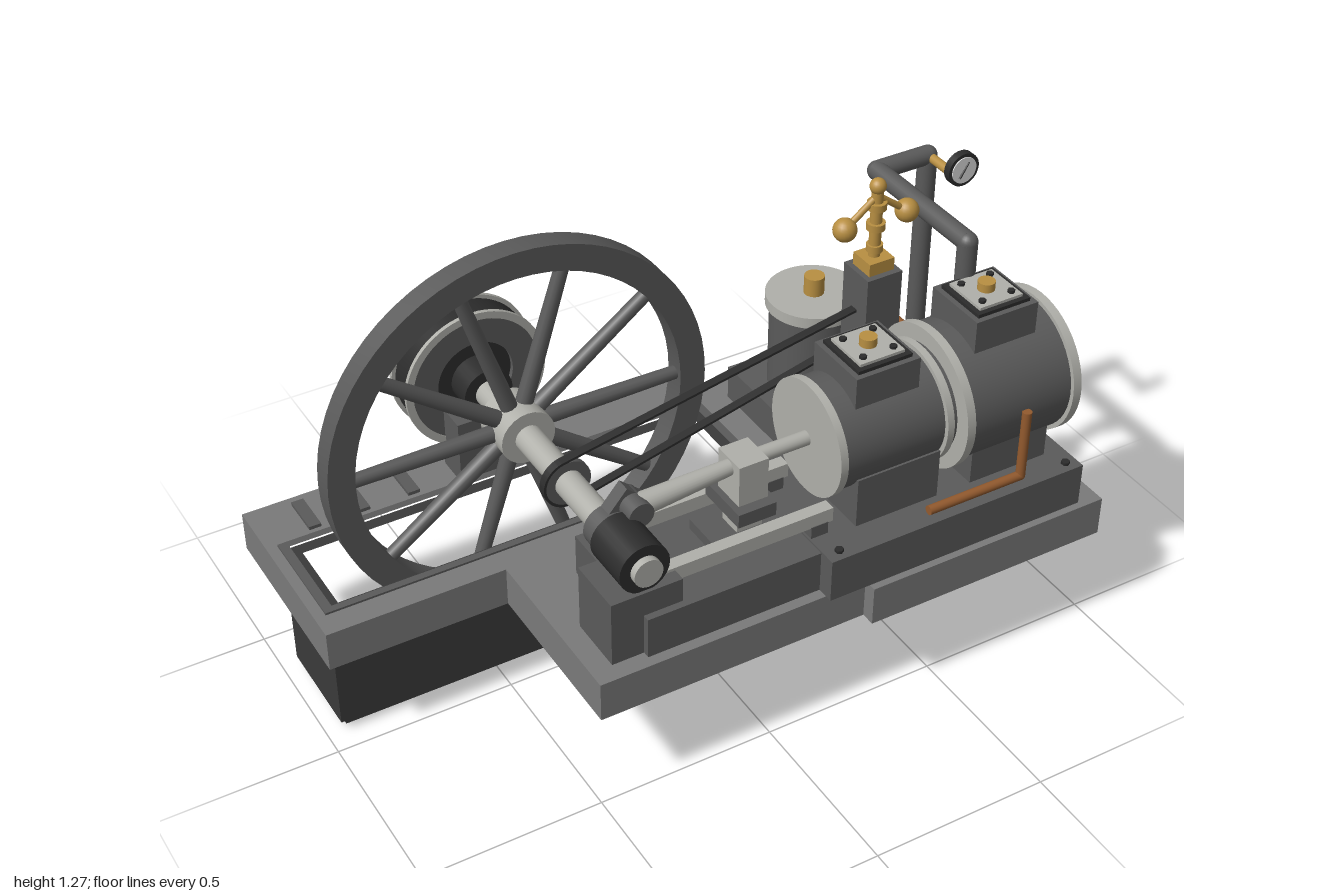
import * as THREE from 'three';
import { toCreasedNormals } from 'three/addons/utils/BufferGeometryUtils.js';

const mat = (name, color) => {
  const m = new THREE.MeshStandardMaterial({ color });
  m.name = name;
  return m;
};
const M = {
  slab: mat('stone grey', 0x7a7a7a),
  iron: mat('iron grey', 0x5a5a5a),
  pit: mat('pit grey', 0x3a3a3a),
  black: mat('black', 0x2c2c2c),
  steel: mat('bright steel', 0xb0b0aa),
  brass: mat('brass', 0xb88f42),
  copper: mat('copper', 0x935a2e),
  white: mat('dial white', 0xdcdcdc),
};

export function createModel() {
  const root = new THREE.Group();
  root.name = 'steamEngine';
  const V = (x, y, z) => new THREE.Vector3(x, y, z);

  const add = (name, geo, m, parent = root) => {
    const mesh = new THREE.Mesh(geo, m);
    mesh.name = name;
    parent.add(mesh);
    return mesh;
  };
  // Box given by its limits on each axis
  const box = (name, m, x0, x1, y0, y1, z0, z1) => {
    const b = add(name, new THREE.BoxGeometry(x1 - x0, y1 - y0, z1 - z0), m);
    b.position.set((x0 + x1) / 2, (y0 + y1) / 2, (z0 + z1) / 2);
    return b;
  };
  // Round bar from a to b
  const rod = (name, m, a, b, r0, r1 = r0, seg = 24) => {
    const d = b.clone().sub(a);
    const c = add(name, new THREE.CylinderGeometry(r1, r0, d.length(), seg), m);
    c.position.copy(a).add(b).multiplyScalar(0.5);
    c.quaternion.setFromUnitVectors(V(0, 1, 0), d.normalize());
    return c;
  };
  const ball = (name, m, p, r) => {
    const s = add(name, new THREE.SphereGeometry(r, 20, 14), m);
    s.position.copy(p);
    return s;
  };
  // Pipe with round elbows
  const pipe = (name, m, r, pts) => {
    for (let i = 1; i < pts.length; i++) {
      rod(name, m, pts[i - 1], pts[i], r);
      if (i < pts.length - 1) ball(name + 'Elbow', m, pts[i], r);
    }
  };
  const extrude = (name, shape, depth, m, seg = 32) => {
    const g = new THREE.ExtrudeGeometry(shape, { depth, bevelEnabled: false, curveSegments: seg });
    return add(name, toCreasedNormals(g, 0.6), m);
  };
  // Ring about the z axis
  const ring = (name, m, rOut, rIn, x, y, z0, z1) => {
    const s = new THREE.Shape().absarc(0, 0, rOut, 0, Math.PI * 2, false);
    s.holes.push(new THREE.Path().absarc(0, 0, rIn, 0, Math.PI * 2, true));
    extrude(name, s, z1 - z0, m).position.set(x, y, z0);
  };
  const rect = (P, x0, x1, z0, z1) => new P([[x0, z0], [x1, z0], [x1, z1], [x0, z1]]
    .map(([x, z]) => new THREE.Vector2(x, -z)));
  // Flat slab lying on y0
  const plate = (name, m, shape, y0, y1) => {
    const p = extrude(name, shape, y1 - y0, m);
    p.rotation.x = -Math.PI / 2;
    p.position.y = y0;
  };

  // Foundation with an open flywheel pit
  const slab = new THREE.Shape([[-1, -0.54], [0.27, -0.54], [0.27, -0.42], [1, -0.42], [1, 0.55],
    [0.27, 0.55], [0.27, 0.51], [-0.5, 0.51], [-0.5, 0.01], [-1, 0.01]]
    .map(([x, z]) => new THREE.Vector2(x, -z)));
  slab.holes.push(rect(THREE.Path, -0.95, 0.28, -0.355, -0.07));
  plate('foundation', M.slab, slab, 0.295, 0.41);
  const walls = rect(THREE.Shape, -0.96, 0.29, -0.36, -0.065);
  walls.holes.push(rect(THREE.Path, -0.92, 0.25, -0.325, -0.1));
  plate('pitWalls', M.pit, walls, 0.03, 0.4);
  box('pitFloor', M.pit, -0.94, 0.27, 0, 0.05, -0.338, -0.085);
  const frame = rect(THREE.Shape, -0.97, 0.295, -0.37, -0.06);
  frame.holes.push(rect(THREE.Path, -0.945, 0.27, -0.348, -0.08));
  plate('pitFrame', M.iron, frame, 0.4, 0.416);
  for (const x of [-0.855, -0.715, -0.57]) box('floorBar', M.iron, x - 0.017, x + 0.017, 0.4, 0.42, -0.51, -0.39);

  // Engine bed
  box('frontBed', M.iron, -0.35, 0.16, 0.41, 0.53, 0.11, 0.48);
  box('cylinderBed', M.iron, 0.15, 0.935, 0.41, 0.535, 0.07, 0.53);
  for (const x of [0.19, 0.9]) for (const z of [0.1, 0.5])
    rod('bedBolt', M.black, V(x, 0.53, z), V(x, 0.543, z), 0.012, 0.012, 6);
  box('slidePad', M.iron, -0.085, 0.15, 0.53, 0.56, 0.23, 0.375);

  // Crankshaft, bearings and crank
  const cx = -0.34, cy = 0.666;
  rod('crankshaft', M.steel, V(cx, cy, -0.545), V(cx, cy, 0.27), 0.038);
  rod('crankshaftEnd', M.steel, V(cx, cy, 0.3), V(cx, cy, 0.47), 0.04);
  for (const [z0, z1] of [[-0.46, -0.38], [0.305, 0.45]]) {
    box('bearingPedestal', M.iron, cx - 0.1, cx + 0.1, 0.41, 0.6, z0 - 0.01, z1 + 0.01);
    rod('bearing', M.black, V(cx, cy, z0), V(cx, cy, z1), 0.07);
  }
  const px = -0.285, py = 0.73;
  const web = box('crankWeb', M.iron, -0.075, 0.075, -0.045, 0.045, -0.02, 0.02);
  web.position.set((cx + px) / 2, (cy + py) / 2, 0.27);
  web.rotation.z = Math.atan2(py - cy, px - cx);
  rod('crankBoss', M.iron, V(cx, cy, 0.25), V(cx, cy, 0.3), 0.06);
  rod('crankPin', M.iron, V(px, py, 0.25), V(px, py, 0.34), 0.035);

  // Connecting rod, crosshead and guides
  rod('connectingRod', M.steel, V(px, py, 0.3), V(0.03, 0.75, 0.3), 0.032, 0.02);
  box('crosshead', M.steel, -0.015, 0.07, 0.655, 0.775, 0.25, 0.35);
  box('crossheadSlide', M.steel, -0.01, 0.065, 0.56, 0.66, 0.265, 0.335);
  box('crossheadShoe', M.iron, -0.03, 0.08, 0.61, 0.65, 0.215, 0.375);
  rod('pistonRod', M.steel, V(0.03, 0.752, 0.3), V(0.23, 0.752, 0.3), 0.02);
  for (const z of [0.195, 0.405]) {
    box('guideBar', M.steel, -0.29, 0.22, 0.567, 0.608, z - 0.018, z + 0.018);
    for (const x of [-0.27, 0.18]) box('guideFoot', M.iron, x - 0.025, x + 0.025, 0.52, 0.57, z - 0.02, z + 0.02);
  }

  // Flywheel
  const fz = -0.214;
  ring('flywheelRim', M.iron, 0.545, 0.47, cx, cy, fz - 0.032, fz + 0.032);
  rod('flywheelHub', M.steel, V(cx, cy, fz - 0.062), V(cx, cy, fz + 0.062), 0.077);
  for (let i = 0; i < 10; i++) {
    const a = i * Math.PI / 5, c = Math.cos(a), s = Math.sin(a);
    rod('flywheelSpoke', M.iron, V(cx + c * 0.06, cy + s * 0.06, fz), V(cx + c * 0.48, cy + s * 0.48, fz), 0.024, 0.019, 12);
  }

  // Drive pulley
  ring('pulleyDrum', M.black, 0.194, 0.17, cx, cy, -0.545, -0.462);
  for (const z of [-0.555, -0.464]) ring('pulleyFlange', M.steel, 0.205, 0.184, cx, cy, z, z + 0.012);
  ring('pulleyFace', M.iron, 0.185, 0.11, cx, cy, -0.475, -0.456);
  rod('pulleyDisc', M.black, V(cx, cy, -0.546), V(cx, cy, -0.47), 0.18, 0.18, 40);

  // Two cylinders in line, each with a valve chest
  const ay = 0.752, az = 0.3;
  const cylinder = (x0, x1, r, flanges, chestX, top) => {
    rod('cylinder', M.iron, V(x0, ay, az), V(x1, ay, az), r, r, 48);
    for (const [x, w, fr] of flanges) rod('cylinderFlange', M.steel, V(x, ay, az), V(x + w, ay, az), fr, fr, 48);
    box('cylinderSaddle', M.iron, x0 + 0.06, x1 - 0.04, 0.53, 0.68, az - 0.14, az + 0.14);
    const sq = (name, m, h, y0, y1) => box(name, m, chestX - h, chestX + h, y0, y1, az - h, az + h);
    sq('valveChest', M.iron, 0.095, ay, top);
    sq('chestCover', M.black, 0.08, top, top + 0.01);
    sq('chestPlate', M.steel, 0.066, top + 0.01, top + 0.018);
    for (const sx of [-1, 1]) for (const sz of [-1, 1]) {
      const x = chestX + sx * 0.045, z = az + sz * 0.045;
      rod('chestBolt', M.black, V(x, top, z), V(x, top + 0.026, z), 0.01, 0.01, 6);
    }
    rod('chestCap', M.brass, V(chestX, top, az), V(chestX, top + 0.042, az), 0.023);
  };
  cylinder(0.22, 0.57, 0.152, [[0.212, 0.022, 0.16], [0.53, 0.02, 0.165]], 0.385, 0.96);
  cylinder(0.575, 0.915, 0.186, [[0.567, 0.025, 0.198], [0.9, 0.025, 0.198]], 0.742, 1.005);

  // Governor on its column
  const gx = 0.565, gz = 0.055;
  box('governorColumn', M.iron, gx - 0.053, gx + 0.053, 0.41, 1.01, 0, 0.11);
  box('columnPlug', M.black, gx + 0.05, gx + 0.057, 0.845, 0.878, 0.045, 0.082);
  box('governorBase', M.brass, gx - 0.038, gx + 0.038, 1.01, 1.046, gz - 0.038, gz + 0.038);
  rod('governorStem', M.brass, V(gx, 1.04, gz), V(gx, 1.25, gz), 0.016);
  for (const [y, r] of [[1.07, 0.022], [1.135, 0.025], [1.195, 0.026]])
    rod('governorCollar', M.brass, V(gx, y - 0.01, gz), V(gx, y + 0.01, gz), r);
  ball('governorTop', M.brass, V(gx, 1.25, gz), 0.022);
  for (const s of [-1, 1]) {
    rod('governorArm', M.brass, V(gx, 1.222, gz), V(gx + s * 0.095, 1.15, gz), 0.009, 0.009, 10);
    ball('governorBall', M.brass, V(gx + s * 0.095, 1.15, gz), 0.032);
  }

  // Governor belt around both pulleys
  const bx = gx - cx, by = 0.862 - cy, r1 = 0.064, r2 = 0.04;
  const dir = Math.atan2(by, bx), b = Math.acos((r1 - r2) / Math.hypot(bx, by));
  const loop = (P, e) => new P()
    .absarc(0, 0, r1 + e, dir + b, dir - b + Math.PI * 2, false)
    .absarc(bx, by, r2 + e, dir - b, dir + b, false);
  const belt = loop(THREE.Shape, 0.007);
  belt.holes.push(loop(THREE.Path, 0));
  extrude('governorBelt', belt, 0.024, M.black).position.set(cx, cy, gz - 0.012);
  rod('beltPulley', M.iron, V(cx, cy, gz - 0.01), V(cx, cy, gz + 0.01), r1);

  // Air pump
  const ax = 0.55, pz = -0.188;
  box('pumpBase', M.iron, 0.38, 0.715, 0.41, 0.512, -0.345, -0.03);
  rod('pumpBarrel', M.iron, V(ax, 0.51, pz), V(ax, 0.77, pz), 0.12, 0.12, 40);
  rod('pumpLid', M.steel, V(ax, 0.765, pz), V(ax, 0.797, pz), 0.132, 0.132, 40);
  rod('pumpCap', M.brass, V(ax, 0.79, pz), V(ax, 0.85, pz), 0.028);

  // Pipework
  pipe('copperPipe', M.copper, 0.018, [V(0.64, 0.655, -0.195), V(0.785, 0.655, -0.195), V(0.785, 0.655, 0.15)]);
  pipe('drainPipe', M.copper, 0.013, [V(0.465, 0.55, 0.495), V(0.755, 0.55, 0.495), V(0.755, 0.755, 0.495)]);
  pipe('steamPipe', M.iron, 0.027, [V(0.742, 0.955, 0.21), V(0.742, 1.113, 0.21), V(0.742, 1.113, -0.197),
    V(0.905, 1.113, -0.197), V(0.905, 0.44, -0.197)]);

  // Pressure gauge
  const qy = 1.148;
  rod('gaugePipe', M.brass, V(0.905, 1.113, -0.197), V(0.905, 1.113, -0.055), 0.013);
  rod('gaugeCase', M.black, V(0.905, qy, -0.058), V(0.905, qy, -0.036), 0.048, 0.048, 32);
  rod('gaugeDial', M.white, V(0.905, qy, -0.038), V(0.905, qy, -0.033), 0.038, 0.038, 32);
  rod('gaugeNeedle', M.black, V(0.89, qy - 0.02, -0.032), V(0.918, qy + 0.022, -0.032), 0.004, 0.002, 6);

  return root;
}
